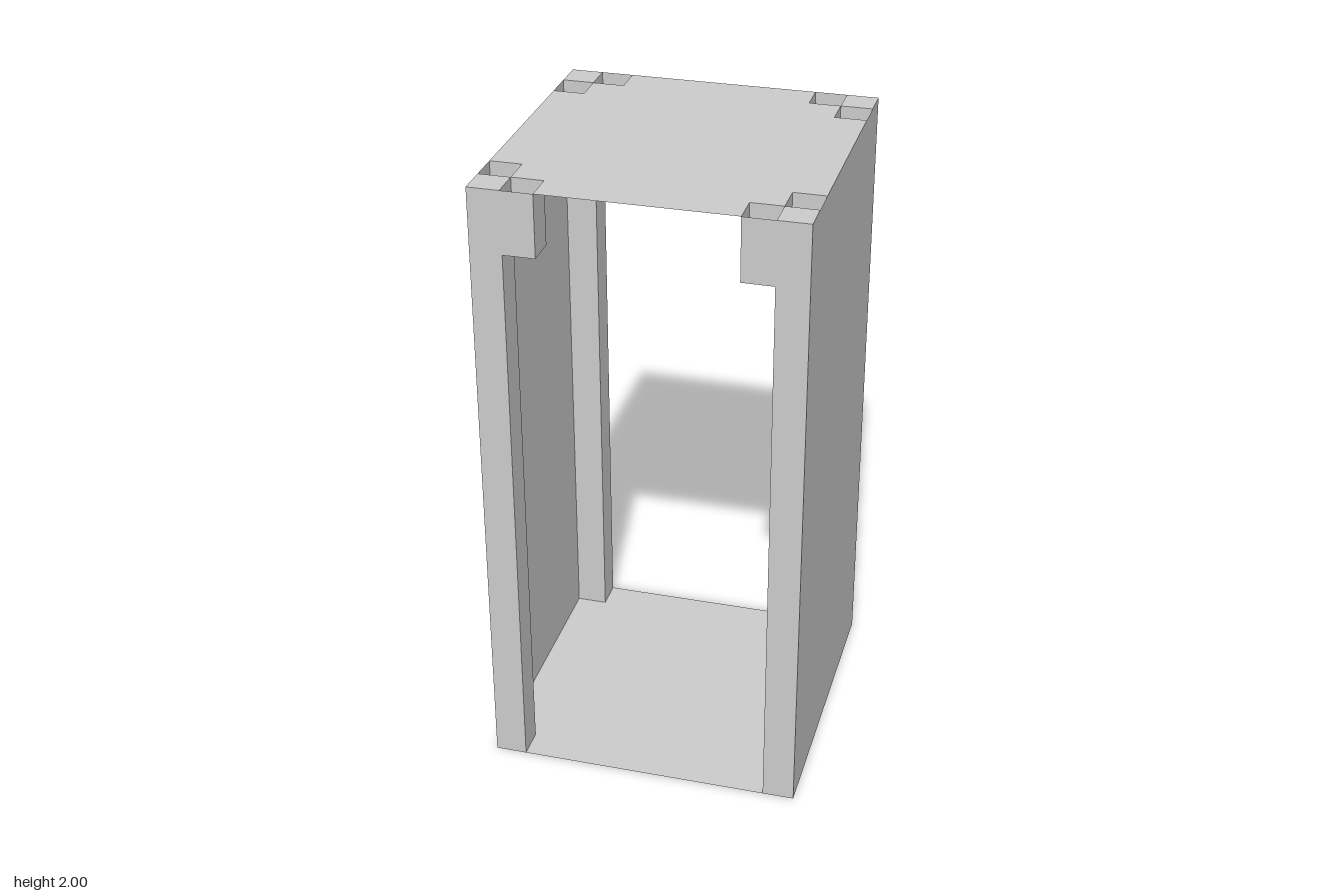
import * as THREE from 'three';

const H = 2;        // overall height
const R = 0.5;      // half width and depth
const T = 0.1;      // post thickness
const DROP = 0.2;   // bracket height

const material = new THREE.MeshStandardMaterial({
  color: 0xcccccc, flatShading: true, side: THREE.DoubleSide,
});

const sheet = (points) =>
  new THREE.ShapeGeometry(new THREE.Shape(points.map(([x, y]) => new THREE.Vector2(x, y))));
const rect = (x0, y0, x1, y1) => sheet([[x0, y0], [x1, y0], [x1, y1], [x0, y1]]);

function add(parent, name, geometry) {
  const mesh = new THREE.Mesh(geometry, material);
  mesh.name = name;
  parent.add(mesh);
}

// Repeats one corner's outline around the square
function fourfold(corner) {
  const points = [];
  for (let i = 0; i < 4; i++) {
    for (const [x, y] of corner) {
      points.push([[x, y], [-y, x], [-x, -y], [y, -x]][i]);
    }
  }
  return sheet(points);
}

// Hollow corner post with one bracket along each direction, built for +x +z
function createCorner() {
  const corner = new THREE.Group();
  const a = R - T, b = R - 2 * T, y = H - DROP;
  const profile = () => sheet([[a, 0], [R, 0], [R, H], [b, H], [b, y], [a, y]]);

  add(corner, 'postOuterFace', profile().translate(0, 0, R));
  add(corner, 'postInnerFace', profile().translate(0, 0, a));
  add(corner, 'postSideFace', profile().rotateY(-Math.PI / 2).translate(a, 0, 0));
  add(corner, 'postCap', rect(a, -R, R, -a).rotateX(-Math.PI / 2).translate(0, H, 0));

  // Bracket ends and undersides; their tops stay open
  add(corner, 'bracketEndX', rect(a, y, R, H).rotateY(-Math.PI / 2).translate(b, 0, 0));
  add(corner, 'bracketEndZ', rect(a, y, R, H).rotateY(0).translate(0, 0, b));
  add(corner, 'bracketBottomX', rect(b, a, a, R).rotateX(Math.PI / 2).translate(0, y, 0));
  add(corner, 'bracketBottomZ', rect(a, b, R, a).rotateX(Math.PI / 2).translate(0, y, 0));
  return corner;
}

export function createModel() {
  const model = new THREE.Group();
  model.name = 'cabinetFrame';
  const a = R - T, b = R - 2 * T;

  // Top sheet, stepped around the brackets
  add(model, 'top', fourfold([[R, b], [a, b], [a, a], [b, a], [b, R]])
    .rotateX(-Math.PI / 2).translate(0, H, 0));

  // Floor sheet, notched around the open post feet
  add(model, 'floor', fourfold([[R, a], [a, a], [a, R]]).rotateX(Math.PI / 2));

  // Side walls
  for (const s of [1, -1]) {
    add(model, s > 0 ? 'leftWall' : 'rightWall',
      rect(-R, 0, R, H).rotateY(s * Math.PI / 2).translate(s * R, 0, 0));
  }

  // Four mirrored corners
  for (const sx of [1, -1]) {
    for (const sz of [1, -1]) {
      const corner = createCorner();
      corner.name = (sz > 0 ? 'front' : 'back') + (sx > 0 ? 'Left' : 'Right') + 'Corner';
      corner.scale.set(sx, 1, sz);
      model.add(corner);
    }
  }
  return model;
}
